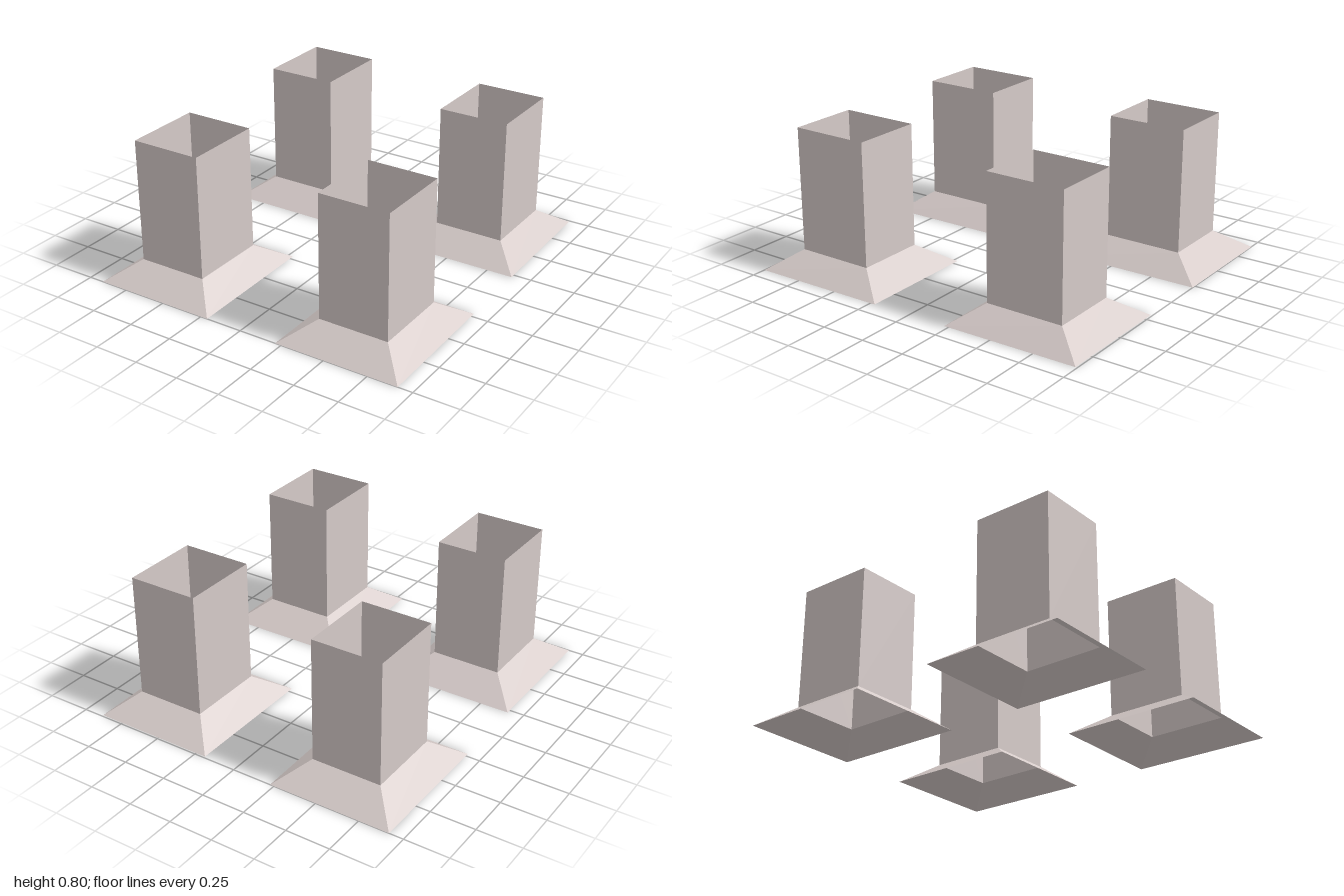
import * as THREE from 'three';

const SKIRT_TOP = 0.11, TOP = 0.8;

// Flat-faced open band between two four-cornered rings [[x, z], ...]
function band(lower, y0, upper, y1) {
  const pos = [];
  for (let i = 0; i < 4; i++) {
    const j = (i + 1) % 4;
    const a = [lower[i][0], y0, lower[i][1]], b = [lower[j][0], y0, lower[j][1]];
    const c = [upper[j][0], y1, upper[j][1]], d = [upper[i][0], y1, upper[i][1]];
    pos.push(...a, ...b, ...c, ...a, ...c, ...d);
  }
  const g = new THREE.BufferGeometry();
  g.setAttribute('position', new THREE.Float32BufferAttribute(pos, 3));
  g.computeVertexNormals();
  return g;
}

export function createModel() {
  const model = new THREE.Group();
  model.name = 'squareDucts';
  const stone = new THREE.MeshStandardMaterial({ color: 0xd6cbc9, side: THREE.DoubleSide, flatShading: true });
  stone.name = 'paleStone';

  // Shaft extents x0, x1, z0, z1 and the slightly skewed skirt corners
  // (back left, front left, front right, back right as seen from above)
  const ducts = [
    { name: 'backRight', shaft: [-0.765, -0.368, -0.83, -0.385], skirt: [[-0.92, -1], [-0.92, -0.23], [-0.215, -0.23], [-0.227, -1]] },
    { name: 'backLeft', shaft: [0.35, 0.747, -0.822, -0.377], skirt: [[0.192, -0.99], [0.192, -0.218], [0.897, -0.224], [0.885, -0.99]] },
    { name: 'frontRight', shaft: [-0.757, -0.36, 0.396, 0.84], skirt: [[-0.915, 0.225], [-0.912, 1], [-0.21, 1], [-0.221, 0.222]] },
    { name: 'frontLeft', shaft: [0.37, 0.766, 0.396, 0.84], skirt: [[0.212, 0.225], [0.215, 1], [0.918, 1], [0.906, 0.222]] },
  ];

  for (const { name, shaft: [x0, x1, z0, z1], skirt } of ducts) {
    const ring = [[x0, z0], [x0, z1], [x1, z1], [x1, z0]];
    const duct = new THREE.Group();
    duct.name = name + 'Duct';
    // Open square shaft
    const shaft = new THREE.Mesh(band(ring, SKIRT_TOP, ring, TOP), stone);
    shaft.name = 'shaft';
    // Flared skirt, open underneath
    const flare = new THREE.Mesh(band(skirt, 0, ring, SKIRT_TOP), stone);
    flare.name = 'skirt';
    duct.add(shaft, flare);
    model.add(duct);
  }
  return model;
}
